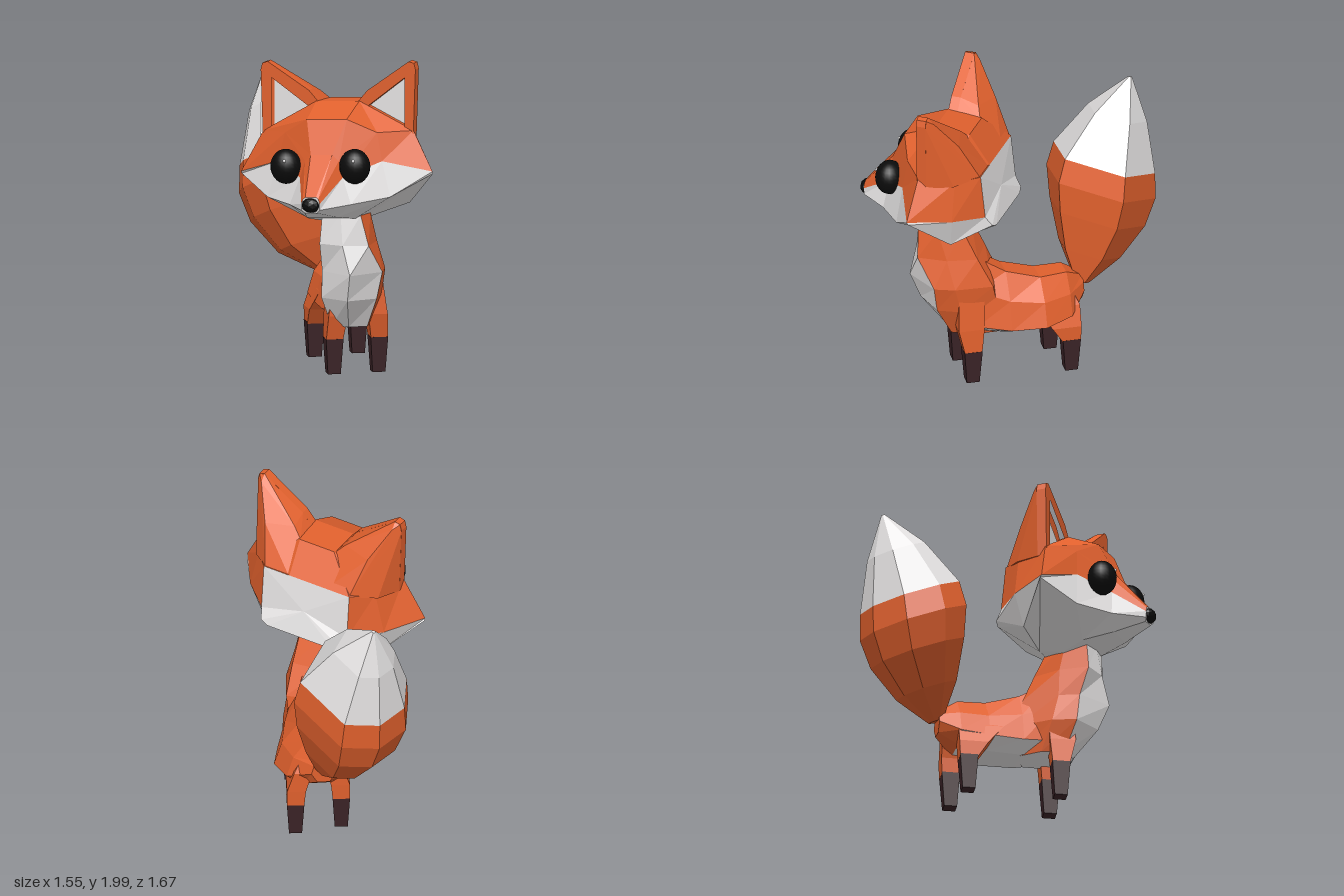
import * as THREE from 'three';
import { ConvexGeometry } from 'three/addons/geometries/ConvexGeometry.js';

const V = (x, y, z) => new THREE.Vector3(x, y, z);
const mat = (name, color) => {
  const m = new THREE.MeshStandardMaterial({ color });
  m.name = name;
  return m;
};

export function createModel() {
  const orange = mat('orange fur', 0xe0602d);
  const white = mat('white fur', 0xe4e2e2);
  const brown = mat('dark brown socks', 0x3b2327);
  const black = mat('black', 0x0b0b0b);
  const mats = [orange, white, brown, black];
  const [O, W, B] = [0, 1, 2];
  const model = new THREE.Group();
  model.name = 'fox';

  const add = (parent, name, geometry, material, pos = [0, 0, 0], scale = [1, 1, 1]) => {
    const mesh = new THREE.Mesh(geometry, material);
    mesh.name = name;
    mesh.position.set(...pos);
    mesh.scale.set(...scale);
    parent.add(mesh);
    return mesh;
  };

  // Faceted closed loft through rings of points; colourOf(row, band) picks the fur colour.
  function loft(rings, colourOf, startColour = O, endColour = O) {
    const tris = [[], [], [], []];
    const n = rings[0].length;
    let volume = 0;
    const tri = (c, a, b, d) => {
      tris[c].push([a, b, d]);
      volume += a.dot(b.clone().cross(d));
    };
    for (let i = 0; i < rings.length - 1; i++) {
      for (let j = 0; j < n; j++) {
        const k = (j + 1) % n, c = colourOf(i, j);
        tri(c, rings[i][j], rings[i][k], rings[i + 1][j]);
        tri(c, rings[i][k], rings[i + 1][k], rings[i + 1][j]);
      }
    }
    const cap = (ring, c, flip) => {
      const mid = ring.reduce((s, p) => s.add(p), V(0, 0, 0)).divideScalar(n);
      for (let j = 0; j < n; j++) {
        const a = ring[j], b = ring[(j + 1) % n];
        flip ? tri(c, mid, b, a) : tri(c, mid, a, b);
      }
    };
    cap(rings[0], startColour, true);
    cap(rings[rings.length - 1], endColour, false);
    const geo = new THREE.BufferGeometry();
    const points = [];
    tris.forEach((list, c) => {
      if (list.length) geo.addGroup(points.length, list.length * 3, c);
      for (const [a, b, d] of list) points.push(...(volume < 0 ? [a, d, b] : [a, b, d]));
    });
    geo.setFromPoints(points);
    geo.computeVertexNormals();
    return geo;
  }
  const mirrored = half => [...half, ...half.map(p => V(-p.x, p.y, p.z)).reverse()];

  // Head: each row is crown, brow, fur edge, cheek ridge, jaw, from snout to nape.
  // The whole head rises gently towards its left.
  const head = new THREE.Group();
  head.name = 'head';
  head.position.x = 0.143;
  model.add(head);
  const rise = (x, y) => y + 0.065 * x;
  const headRows = [
    [[0.035, 1.21, 0.80], [0.05, 1.20, 0.80], [0.06, 1.17, 0.80], [0.06, 1.13, 0.80], [0.04, 1.11, 0.79]],
    [[0.07, 1.44, 0.61], [0.11, 1.40, 0.60], [0.14, 1.30, 0.61], [0.20, 1.135, 0.63], [0.10, 1.05, 0.60]],
    [[0.13, 1.645, 0.515], [0.30, 1.55, 0.44], [0.34, 1.375, 0.46], [0.40, 1.155, 0.48], [0.15, 1.01, 0.42]],
    [[0.14, 1.725, 0.32], [0.49, 1.54, 0.31], [0.625, 1.29, 0.34], [0.625, 1.275, 0.33], [0.11, 0.97, 0.27]],
    [[0.12, 1.71, 0.10], [0.41, 1.51, 0.10], [0.47, 1.26, 0.10], [0.40, 1.06, 0.13], [0.14, 0.985, 0.13]],
    [[0.12, 1.52, -0.03], [0.30, 1.52, -0.03], [0.30, 1.24, -0.06], [0.28, 1.18, -0.1], [0.23, 1.16, -0.11]],
  ].map(row => mirrored(row.map(p => V(...p))).map(p => V(p.x, rise(p.x, p.y), p.z)));
  add(head, 'face', loft(headRows, (i, j) => (j >= 2 && j <= 6 ? W : O), W, W), mats);

  // Nose
  const noseGeo = new THREE.IcosahedronGeometry(1, 1);
  noseGeo.computeVertexNormals();
  add(head, 'nose', noseGeo, black, [0, 1.16, 0.797], [0.058, 0.046, 0.042]);

  for (const s of [1, -1]) {
    const side = s > 0 ? 'left' : 'right';
    // Eye with a small glint
    const ex = s * 0.225 - 0.016;
    add(head, side + 'Eye', new THREE.SphereGeometry(1, 20, 14), black, [ex, rise(ex, 1.365), 0.585], [0.096, 0.108, 0.088]);
    add(head, side + 'EyeGlint', new THREE.SphereGeometry(0.01, 8, 6), white, [ex + 0.018, rise(ex, 1.412), 0.663]);

    // Ear: solid back running down to the nape, raised rim and white lining
    const flat = list => list.map(([x, y]) => new THREE.Vector2(s * x, rise(s * x, y)));
    const outline = flat([[0.49, 1.48], [0.505, 1.92], [0.495, 1.96], [0.46, 1.97], [0.19, 1.79], [0.12, 1.71], [0.12, 1.5]]);
    const hull = outline.map(p => V(p.x, p.y, 0.26));
    for (const [x, y, z] of [[0.46, 1.93, 0.22], [0.36, 1.745, 0.09], [0.18, 1.76, 0.14], [0.12, 1.7, 0.11],
      [0.13, 1.515, -0.025], [0.295, 1.515, -0.025], [0.43, 1.49, 0.1]])
      hull.push(V(s * x, rise(s * x, y), z));
    add(head, side + 'Ear', new ConvexGeometry(hull), orange);
    const rim = new THREE.Shape(outline);
    const opening = flat([[0.435, 1.5], [0.435, 1.87], [0.19, 1.69], [0.17, 1.55]]);
    rim.holes.push(new THREE.Path(opening));
    add(head, side + 'EarRim', new THREE.ExtrudeGeometry(rim, { depth: 0.06, bevelEnabled: false }), orange, [0, 0, 0.258]);
    add(head, side + 'EarLining', new THREE.ShapeGeometry(new THREE.Shape(opening)), white, [0, 0, 0.265]);
  }

  // Neck and chest: horizontal rings of front, bib edge, side, back, turning as they go down
  const chestRows = [
    [1.04, 0.20, 0.28, 0, 0.145, [0.125, 0.13], [0.14, 0], [0.08, -0.14]],
    [0.85, 0.20, 0.23, 0.1, 0.225, [0.155, 0.185], [0.16, 0], [0.10, -0.18]],
    [0.67, 0.20, 0.18, 0.26, 0.31, [0.185, 0.15], [0.19, 0.02], [0.13, -0.21]],
    [0.50, 0.17, 0.15, 0.26, 0.28, [0.17, 0.17], [0.185, 0.02], [0.12, -0.2]],
    [0.31, 0.15, 0.10, 0.26, 0.18, [0.11, 0.14], [0.13, 0], [0.08, -0.15]],
  ].map(([y, cx, cz, turn, front, ...half]) => {
    const pts = [V(0, 0, front), ...mirrored(half.map(([x, z]) => V(x, 0, z)))];
    return pts.map(p => p.applyAxisAngle(V(0, 1, 0), turn).add(V(cx, y, cz)));
  });
  add(model, 'chest', loft(chestRows, (i, j) => (j === 0 || j === 6 ? W : O), O, W), mats);

  // Torso: sections along the curved, turned spine, white below
  const torsoRows = [
    [0.27, 0, 0.84, 0.33, 0.15],
    [0.07, 0.03, 0.72, 0.31, 0.20],
    [-0.14, 0.055, 0.66, 0.32, 0.22],
    [-0.32, 0.03, 0.645, 0.34, 0.185],
    [-0.44, 0, 0.57, 0.42, 0.075],
  ].map(([z, shift, top, low, w]) => mirrored([
    V(w * 0.33, top, z), V(w * 0.78, (top + low) / 2 + 0.04, z), V(w, low + 0.06, z), V(w * 0.5, low, z),
  ]).map(p => p.add(V(shift, 0, 0))));
  const torso = add(model, 'torso', loft(torsoRows, (i, j) => (j >= 2 && j <= 4 && i < 3 ? W : O)), mats, [0.035, 0, -0.1]);
  torso.rotation.y = 0.62;

  // Legs: rows of height, half width, half depth, inward shift, forward shift
  const foreLeg = [[0.23, 0.053, 0.055, 0, 0], [0.38, 0.06, 0.08, 0.015, 0.01], [0.66, 0.04, 0.08, 0.035, 0]];
  const hindLeg = [[0.22, 0.053, 0.056, 0, 0], [0.32, 0.058, 0.09, 0.005, 0.03], [0.45, 0.055, 0.14, 0.045, 0.08], [0.6, 0.03, 0.09, 0.1, 0.1]];
  const sock = [[0.01, 0.04, 0.04, 0, 0], [0.23, 0.054, 0.056, 0, 0]];
  const legRings = (rows, s) => rows.map(([y, w, d, inward, forward]) =>
    [[1, 1], [1, -1], [-1, -1], [-1, 1]].map(([a, b]) => V(a * w - s * inward, y, b * d + forward)));
  for (const [name, x, z, s, rows] of [
    ['leftFrontLeg', 0.31, 0.07, 1, foreLeg], ['rightFrontLeg', 0.08, 0.235, -1, foreLeg],
    ['leftHindLeg', -0.02, -0.455, 1, hindLeg], ['rightHindLeg', -0.225, -0.25, -1, hindLeg]]) {
    const leg = new THREE.Group();
    leg.name = name;
    leg.position.set(x, 0, z);
    leg.rotation.y = 0.55;
    model.add(leg);
    add(leg, name + 'Fur', loft(legRings(rows, s), () => O), mats);
    add(leg, name + 'Sock', loft(legRings(sock, s), () => B, B, B), mats);
  }

  // Tail: tilted seven-sided rings, white tip
  const lean = new THREE.Quaternion().setFromUnitVectors(V(0, 1, 0), V(-0.36, 0.9, -0.16).normalize());
  const corners = [26, 103, 132, 171, 210, 248, 318];
  const tailRings = [
    [-0.22, 0.51, -0.46, 0.05], [-0.33, 0.67, -0.465, 0.21], [-0.405, 0.89, -0.485, 0.325], [-0.44, 1.08, -0.495, 0.37],
    [-0.465, 1.24, -0.51, 0.345], [-0.57, 1.52, -0.57, 0.2], [-0.67, 1.74, -0.63, 0.012],
  ].map(([x, y, z, r]) => corners.map(deg => {
    const a = THREE.MathUtils.degToRad(deg);
    return V(Math.cos(a) * r, 0, Math.sin(a) * r).applyQuaternion(lean).add(V(x, y, z));
  }));
  add(model, 'tail', loft(tailRings, i => (i >= 4 ? W : O), O, W), mats);

  return model;
}
